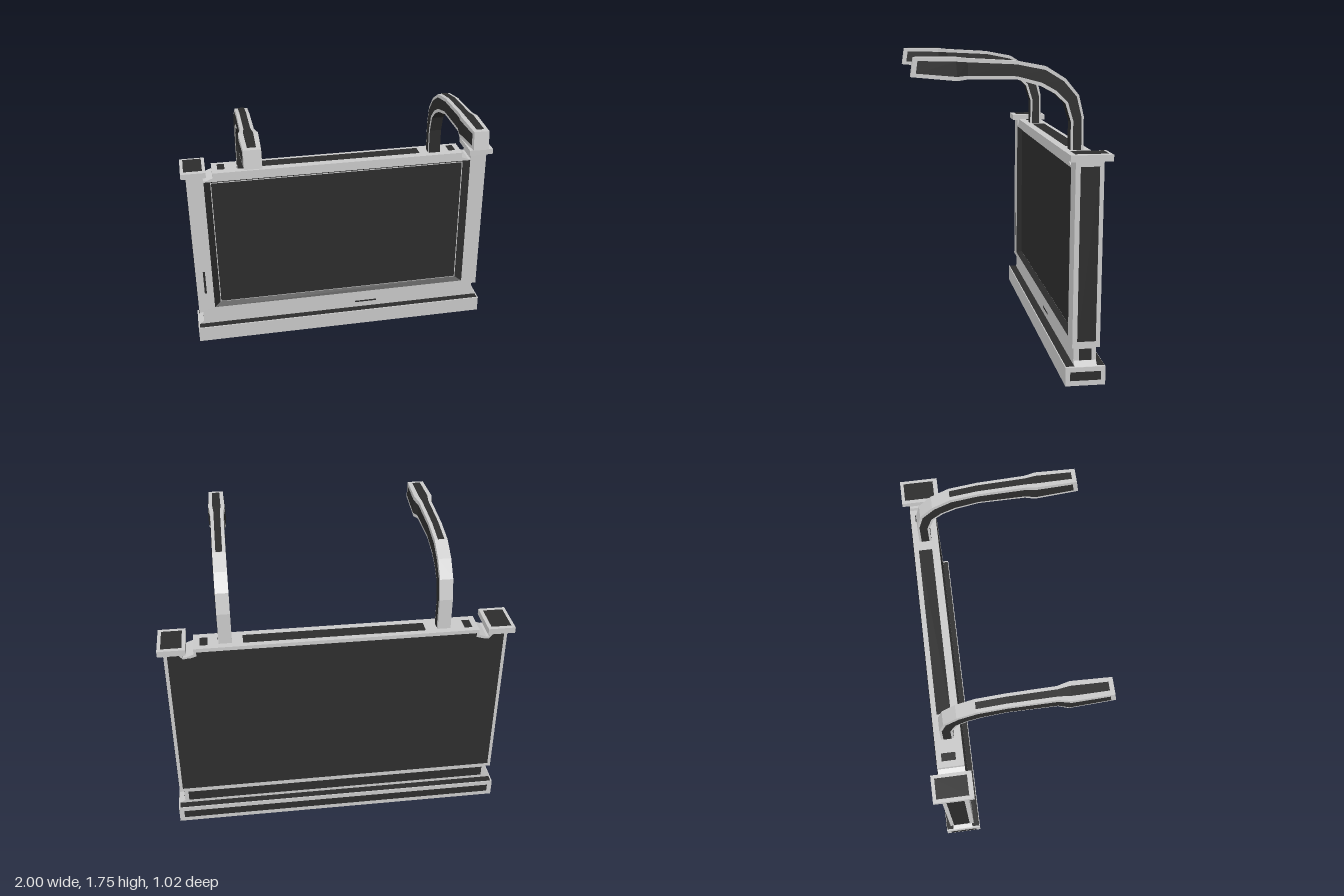
import * as THREE from 'three';

const lightTrim = new THREE.MeshStandardMaterial({ color: 0xcbcbcb, side: THREE.DoubleSide });
lightTrim.name = 'lightTrim';
const darkPanel = new THREE.MeshStandardMaterial({ color: 0x2d2d2d, side: THREE.DoubleSide });
darkPanel.name = 'darkPanel';

const LIFT = 0.003; // height of a painted panel above its face

function add(parent, name, geometry, material) {
  const mesh = new THREE.Mesh(geometry, material);
  mesh.name = name;
  parent.add(mesh);
  return mesh;
}

// Box given by its limits
function box(parent, name, x0, x1, y0, y1, z0, z1, material = lightTrim) {
  const mesh = add(parent, name, new THREE.BoxGeometry(x1 - x0, y1 - y0, z1 - z0), material);
  mesh.position.set((x0 + x1) / 2, (y0 + y1) / 2, (z0 + z1) / 2);
}

// Flat panels facing along one axis; sign gives the direction they face
function panelX(parent, name, x, y0, y1, z0, z1, sign) {
  const m = add(parent, name, new THREE.PlaneGeometry(z1 - z0, y1 - y0), darkPanel);
  m.rotation.y = sign * Math.PI / 2;
  m.position.set(x + sign * LIFT, (y0 + y1) / 2, (z0 + z1) / 2);
}
function panelY(parent, name, y, x0, x1, z0, z1, sign) {
  const m = add(parent, name, new THREE.PlaneGeometry(x1 - x0, z1 - z0), darkPanel);
  m.rotation.x = -sign * Math.PI / 2;
  m.position.set((x0 + x1) / 2, y + sign * LIFT, (z0 + z1) / 2);
}
function panelZ(parent, name, z, x0, x1, y0, y1, sign, material = darkPanel) {
  const m = add(parent, name, new THREE.PlaneGeometry(x1 - x0, y1 - y0), material);
  m.rotation.y = sign > 0 ? 0 : Math.PI;
  m.position.set((x0 + x1) / 2, (y0 + y1) / 2, z + sign * LIFT);
}

// Faceted strip of quads between two equally long rows of points
function strip(a, b) {
  const pos = [];
  for (let i = 0; i < a.length - 1; i++) {
    for (const p of [a[i], b[i], b[i + 1], a[i], b[i + 1], a[i + 1]]) pos.push(...p);
  }
  const g = new THREE.BufferGeometry();
  g.setAttribute('position', new THREE.Float32BufferAttribute(pos, 3));
  g.computeVertexNormals();
  return g;
}

// Right half of an outline, mirrored to a full shape
function mirroredShape(half) {
  const left = half.map(([x, y]) => [-x, y]).reverse();
  return new THREE.Shape([...half, ...left].map(([x, y]) => new THREE.Vector2(x, y)));
}

function rect(w, y0, y1, z) {
  return [[-w, y0, z], [w, y0, z], [w, y1, z], [-w, y1, z], [-w, y0, z]];
}

// Curved lamp arm: stations of outer z,y / inner z,y / half width
const ARM = [
  [-0.43, 1.23, -0.357, 1.23, 0.037],
  [-0.428, 1.42, -0.357, 1.39, 0.037],
  [-0.40, 1.535, -0.325, 1.49, 0.037],
  [-0.325, 1.625, -0.265, 1.545, 0.037],
  [-0.22, 1.69, -0.19, 1.585, 0.037],
  [-0.06, 1.72, -0.06, 1.622, 0.037],
  [0.205, 1.735, 0.205, 1.625, 0.038],
  [0.27, 1.742, 0.26, 1.617, 0.052],
  [0.492, 1.742, 0.507, 1.64, 0.046],
];

function lampArm(name, x, headScale) {
  const arm = new THREE.Group();
  arm.name = name;
  const width = (s, i) => s[4] * (i > 6 ? headScale : 1);
  // t runs from the outer to the inner edge, side from -1 to 1
  const row = (t, side, lift = 0, list = ARM) => list.map((s) => {
    const w = width(s, ARM.indexOf(s));
    return [side * w + Math.sign(side) * (t > 0 && t < 1 ? lift : 0),
      s[1] + (s[3] - s[1]) * t + (t === 0 ? lift : 0), s[0] + (s[2] - s[0]) * t];
  });
  add(arm, 'armOuterFace', strip(row(0, -1), row(0, 1)), lightTrim);
  add(arm, 'armInnerFace', strip(row(1, 1), row(1, -1)), darkPanel);
  for (const s of [-1, 1]) {
    add(arm, 'armSide', strip(row(0, s), row(1, s)), lightTrim);
    // Inset stripe, stopping short of the lamp face
    const stripe = [row(0.18, s, LIFT), row(0.82, s, LIFT)];
    stripe.forEach((r) => { r[r.length - 1][2] -= 0.025; });
    add(arm, 'armSideStripe', strip(...stripe), darkPanel);
  }
  const upper = ARM.slice(4);
  const top = [row(0, -0.5, LIFT, upper), row(0, 0.5, LIFT, upper)];
  top.forEach((r) => { r[r.length - 1][2] -= 0.025; });
  add(arm, 'armTopStripe', strip(...top), darkPanel);
  // Lamp face
  const end = (t) => [row(t, -1).pop(), row(t, 1).pop()];
  add(arm, 'lampFace', strip(end(1), end(0)), lightTrim);
  arm.position.x = x;
  return arm;
}

export function createModel() {
  const model = new THREE.Group();
  model.name = 'billboard';

  // Base plinth
  const base = new THREE.Group();
  base.name = 'base';
  model.add(base);
  box(base, 'plinth', -0.985, 0.985, 0, 0.105, -0.5, -0.28);
  panelY(base, 'plinthTop', 0.105, -0.975, 0.975, -0.497, -0.284, 1);
  add(base, 'plinthBottom', new THREE.PlaneGeometry(1.96, 0.21).rotateX(Math.PI / 2), darkPanel)
    .position.set(0, -0.001, -0.39);
  panelZ(base, 'plinthBack', -0.5, -0.955, 0.955, 0.03, 0.08, -1);

  // Plinth neck, flared at the foot
  const neck = new THREE.ExtrudeGeometry(
    mirroredShape([[0.98, 0.105], [0.945, 0.128], [0.945, 0.215]]), { depth: 0.125, bevelEnabled: false });
  add(base, 'neck', neck, lightTrim).position.z = -0.455;
  panelZ(base, 'neckBack', -0.455, -0.92, 0.92, 0.13, 0.195, -1);
  panelZ(base, 'neckMark', -0.33, 0.1, 0.25, 0.147, 0.159, 1);

  // Frame body with a window for the display
  const outline = mirroredShape([[0.97, 0.21], [0.97, 1.23], [0.865, 1.23], [0.865, 1.185],
    [0.85, 1.185], [0.805, 1.202], [0.805, 1.235]]);
  outline.holes.push(new THREE.Path(
    rect(0.863, 0.24, 1.177, 0).map(([x, y]) => new THREE.Vector2(x, y))));
  const body = add(model, 'frameBody',
    new THREE.ExtrudeGeometry(outline, { depth: 0.152, bevelEnabled: false }), lightTrim);
  body.position.z = -0.469;

  // Back panel with notched upper corners
  const back = mirroredShape([[0.95, 0.235], [0.95, 1.205], [0.89, 1.205], [0.865, 1.175],
    [0.84, 1.175], [0.79, 1.19], [0.79, 1.215]]);
  add(model, 'backPanel', new THREE.ShapeGeometry(back).rotateY(Math.PI), darkPanel)
    .position.z = -0.472;

  // Display set into a sloping surround
  add(model, 'displaySurround',
    strip(rect(0.863, 0.24, 1.177, -0.317), rect(0.822, 0.262, 1.158, -0.347)), darkPanel);
  panelZ(model, 'displayEdge', -0.35, -0.822, 0.822, 0.262, 1.158, 1, lightTrim);
  panelZ(model, 'display', -0.347, -0.817, 0.815, 0.268, 1.153, 1);

  // Pillar panels and caps on both sides
  for (const s of [-1, 1]) {
    const span = (a, b) => (s > 0 ? [a, b] : [-b, -a]);
    panelX(model, 'pillarSide', s * 0.97, 0.245, 1.195, -0.445, -0.343, s);
    panelX(base, 'neckEnd', s * 0.945, 0.13, 0.195, -0.43, -0.36, s);
    panelX(base, 'plinthEnd', s * 0.985, 0.03, 0.08, -0.475, -0.305, s);
    box(model, 'pillarCap', ...span(0.845, 1), 1.225, 1.26, -0.51, -0.283);
    panelY(model, 'capTop', 1.26, ...span(0.865, 0.98), -0.49, -0.31, 1);
    panelY(model, 'capUnderside', 1.225, ...span(0.865, 0.98), -0.49, -0.31, -1);
    panelY(model, 'beamSquare', 1.235, ...span(0.725, 0.77), -0.44, -0.36, 1);
  }
  panelZ(model, 'pillarMark', -0.317, -0.922, -0.908, 0.36, 0.53, 1);
  panelY(model, 'beamTop', 1.235, -0.5, 0.53, -0.44, -0.36, 1);

  // Lamps reaching over the front
  model.add(lampArm('rightLamp', -0.608, 1.03), lampArm('leftLamp', 0.628, 0.92));
  return model;
}
